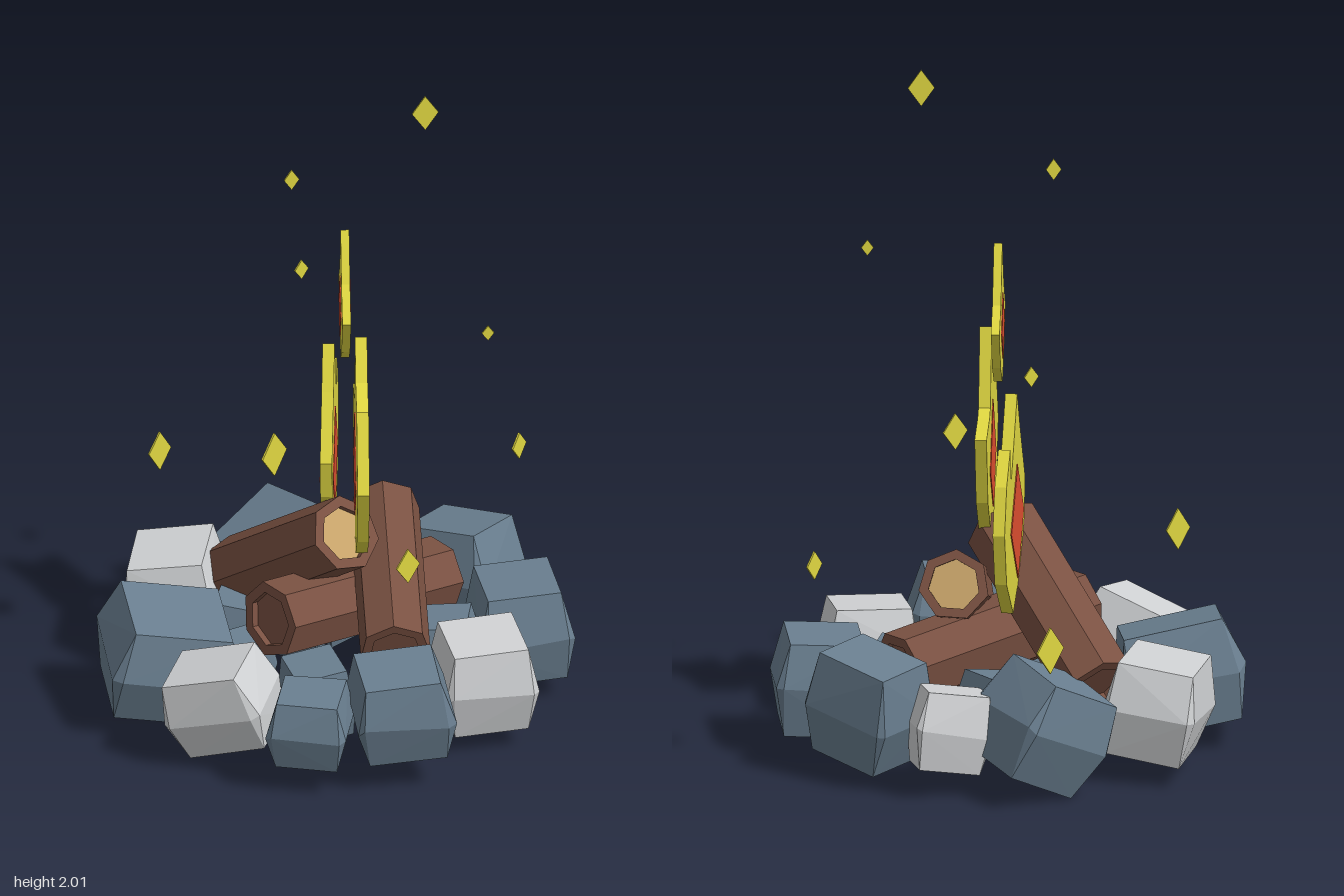
import * as THREE from 'three';
import { ConvexGeometry } from 'three/addons/geometries/ConvexGeometry.js';

const mat = (name, color, opts = {}) => {
  const m = new THREE.MeshStandardMaterial({ color, ...opts });
  m.name = name;
  return m;
};

export function createModel() {
  const root = new THREE.Group();
  root.name = 'campfire';
  const slate = mat('slate blue', 0x6a7f90, { flatShading: true });
  const pale = mat('pale grey', 0xd0d2d4, { flatShading: true });
  const bark = mat('bark brown', 0x7a5142, { flatShading: true, side: THREE.DoubleSide });
  const wood = mat('cut wood', 0xc9a56b, { flatShading: true });
  const yellow = mat('flame yellow', 0xe0d741, { flatShading: true });
  const red = mat('ember red', 0xe04f30, { flatShading: true });

  let seed = 7;
  const rand = () => {
    seed = (seed * 16807) % 2147483647;
    return seed / 2147483647 - 0.5;
  };
  const add = (parent, name, geometry, material) => {
    const mesh = new THREE.Mesh(geometry, material);
    mesh.name = name;
    parent.add(mesh);
    return mesh;
  };

  // Stones: blocks widest around the middle, tapering to smaller top and bottom faces
  const stoneGeometry = (w, h, d) => {
    const pts = [];
    const corner = (x, y, z) => pts.push(new THREE.Vector3(
      x * w / 2 * (1 + rand() * 0.06), y * h / 2, z * d / 2 * (1 + rand() * 0.06)));
    for (const sx of [-1, 1]) for (const sz of [-1, 1]) {
      corner(sx * 0.78, 1, sz * 0.78);
      corner(sx * 0.78, -1, sz * 0.78);
      corner(sx, rand() * 0.2, sz * 0.86);
      corner(sx * 0.86, rand() * 0.2, sz);
    }
    return new ConvexGeometry(pts);
  };
  // x, y, z, width, height, depth, turn, pitch, roll, material
  const stones = [
    [-0.145, 0.19, -0.475, 0.31, 0.30, 0.31, 0.65, 0.15, 0.45, slate],
    [0.125, 0.17, -0.465, 0.23, 0.23, 0.21, 0.25, 0.15, 0.1, pale],
    [0.37, 0.205, -0.37, 0.31, 0.31, 0.25, -0.6, -0.15, 0.1, slate],
    [0.535, 0.19, -0.085, 0.28, 0.28, 0.29, 0.18, 0, 0.05, slate],
    [0.43, 0.19, 0.24, 0.28, 0.27, 0.27, 0.25, 0.08, 0, pale],
    [0.19, 0.225, 0.495, 0.29, 0.26, 0.26, 0.15, 0.12, 0.05, slate],
    [-0.07, 0.185, 0.53, 0.23, 0.21, 0.22, -0.15, 0.05, 0, slate],
    [-0.325, 0.19, 0.395, 0.30, 0.25, 0.24, -0.35, 0.05, 0.35, pale],
    [-0.49, 0.185, 0.105, 0.37, 0.30, 0.34, 0.2, 0.1, -0.22, slate],
    [-0.46, 0.20, -0.26, 0.28, 0.28, 0.32, -0.12, 0, 0.15, pale],
    [0.0, 0.17, -0.30, 0.21, 0.23, 0.20, 0.6, 0.15, 0.1, slate],
    [0.33, 0.16, 0.03, 0.17, 0.22, 0.20, -0.1, 0, 0.1, slate],
    [-0.05, 0.16, 0.31, 0.19, 0.22, 0.20, 0.3, 0.1, 0.1, slate],
    [-0.28, 0.16, -0.09, 0.19, 0.22, 0.20, -0.2, 0, -0.1, slate],
    [-0.26, 0.14, 0.07, 0.15, 0.18, 0.13, 0.5, 0.1, 0, slate],
    [-0.1, 0.14, -0.19, 0.15, 0.18, 0.15, -0.3, 0, 0.1, slate],
  ];
  stones.forEach(([x, y, z, w, h, d, turn, pitch, roll, m], i) => {
    const s = add(root, i < 10 ? 'ringStone' : 'innerStone', stoneGeometry(w, h, d), m);
    s.position.set(x, y, z);
    s.rotation.set(pitch, turn, roll, 'ZXY');
  });

  // Logs: faceted tubes with recessed ends
  const addLog = (from, to, r, topEnd) => {
    const a = new THREE.Vector3(...from), b = new THREE.Vector3(...to);
    const half = a.distanceTo(b) / 2, rin = r * 0.72, inset = half - 0.025;
    const log = new THREE.Group();
    log.name = 'log';
    const profile = [[rin, -inset], [rin, -half], [r, -half], [r, half], [rin, half], [rin, inset]]
      .map(([x, y]) => new THREE.Vector2(x, y));
    add(log, 'bark', new THREE.LatheGeometry(profile, 7), bark);
    for (const s of [-1, 1]) {
      const cap = add(log, 'cutEnd', new THREE.CylinderGeometry(rin, rin, 0.008, 7), s > 0 ? topEnd : bark);
      cap.position.y = s * inset;
    }
    log.position.copy(a).add(b).multiplyScalar(0.5);
    log.quaternion.setFromUnitVectors(new THREE.Vector3(0, 1, 0), b.clone().sub(a).normalize());
    root.add(log);
  };
  addLog([-0.29, 0.25, -0.265], [0.03, 0.60, 0.14], 0.112, wood);
  addLog([0.175, 0.335, 0.365], [0.14, 0.52, -0.185], 0.104, wood);
  addLog([0.295, 0.27, -0.225], [-0.19, 0.35, 0.205], 0.114, bark);

  // Flames: upright plates facing sideways, outlines given as z, y
  const plate = (points, depth) => {
    const shape = new THREE.Shape(points.map(([u, v]) => new THREE.Vector2(u, v)));
    const g = new THREE.ExtrudeGeometry(shape, { depth, bevelEnabled: false });
    return g.translate(0, 0, -depth / 2);
  };
  const addFlame = (x, turn, depth, outline, core) => {
    const flame = new THREE.Group();
    flame.name = 'flame';
    const cz = outline.reduce((s, p) => s + p[0], 0) / outline.length;
    const shift = (pts) => pts.map(([z, y]) => [z - cz, y]);
    add(flame, 'flameBody', plate(shift(outline), depth), yellow);
    add(flame, 'flameCore', plate(shift(core), depth + 0.006), red);
    flame.position.set(x, 0, cz);
    flame.rotation.y = -Math.PI / 2 + turn;
    root.add(flame);
  };
  addFlame(0.075, 0.03, 0.035,
    [[0.165, 0.55], [0.295, 0.655], [0.385, 0.855], [0.275, 1.07], [0.17, 1.11], [0.093, 1.22],
      [0.035, 0.99], [0, 0.97], [-0.135, 0.945], [-0.07, 0.735], [0.035, 0.63]],
    [[0.125, 0.99], [0.25, 0.80], [0.14, 0.66], [0.008, 0.80]]);
  addFlame(-0.018, -0.04, 0.035,
    [[-0.205, 0.445], [-0.06, 0.53], [0.03, 0.66], [0.05, 0.78], [-0.055, 0.96], [-0.12, 1.085],
      [-0.247, 0.86], [-0.268, 0.96], [-0.347, 0.87], [-0.39, 0.735], [-0.347, 0.575]],
    [[-0.13, 0.875], [-0.262, 0.70], [-0.115, 0.525], [0.003, 0.70]]);
  addFlame(0.027, 0.04, 0.025,
    [[-0.024, 1.51], [0.05, 1.37], [0.13, 1.28], [0.055, 1.15], [-0.024, 1.09],
      [-0.115, 1.16], [-0.178, 1.28], [-0.103, 1.345]],
    [[-0.024, 1.36], [0.045, 1.255], [-0.024, 1.16], [-0.093, 1.255]]);

  // Sparks: x, y, z, width, height, turn
  const sparks = [
    [0.26, 1.945, 0.07, 0.078, 0.11, 0.2],
    [-0.127, 1.715, 0.052, 0.045, 0.065, 0.25],
    [0.443, 1.37, 0.345, 0.036, 0.048, 0.15],
    [-0.1, 1.208, -0.345, 0.045, 0.062, 0.5],
    [-0.51, 0.705, -0.17, 0.08, 0.125, 0.65],
    [0.212, 0.74, 0.6, 0.078, 0.11, 0.55],
    [-0.18, 0.46, -0.605, 0.1, 0.14, 0.8],
    [0.53, 0.622, -0.36, 0.062, 0.085, 0.9],
  ];
  for (const [x, y, z, w, h, turn] of sparks) {
    const s = add(root, 'spark', plate([[0, -h / 2], [w / 2, 0], [0, h / 2], [-w / 2, 0]], 0.006), yellow);
    s.position.set(x, y, z);
    s.rotation.y = turn;
  }
  return root;
}
